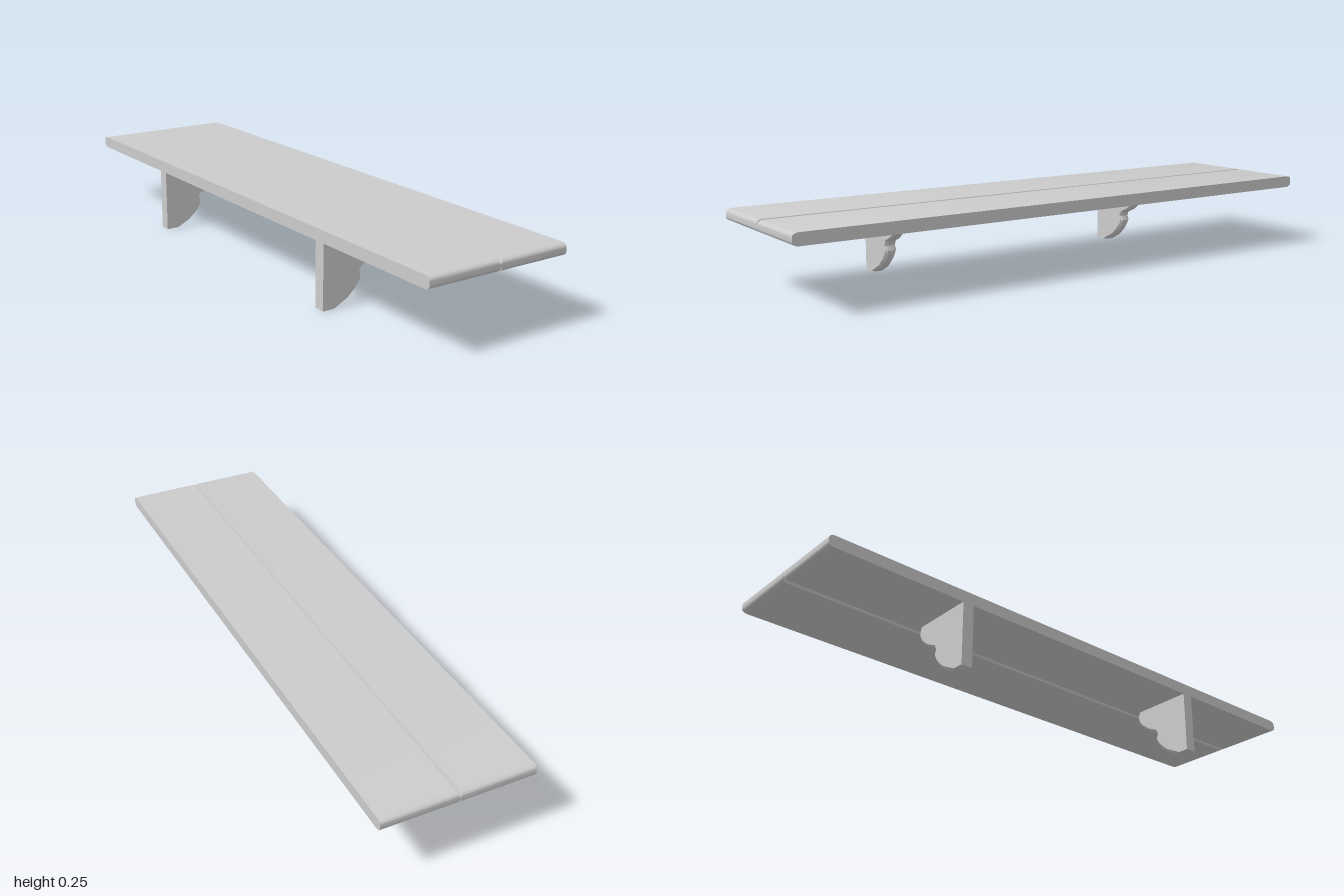
import * as THREE from 'three';
import { toCreasedNormals } from 'three/addons/utils/BufferGeometryUtils.js';

// Skins closed counter-clockwise xy sections, ordered by rising z, and caps both ends.
function loft(sections) {
  const pos = [];
  const n = sections[0].ring.length;
  const put = (s, i) => pos.push(s.ring[i % n][0], s.ring[i % n][1], s.z);
  for (let k = 0; k + 1 < sections.length; k++) {
    const a = sections[k], b = sections[k + 1];
    for (let i = 0; i < n; i++) {
      put(a, i); put(a, i + 1); put(b, i + 1);
      put(a, i); put(b, i + 1); put(b, i);
    }
  }
  const first = sections[0], last = sections[sections.length - 1];
  const cap = (s) => THREE.ShapeUtils.triangulateShape(s.ring.map(([x, y]) => new THREE.Vector2(x, y)), []);
  for (const [a, b, c] of cap(first)) { put(first, a); put(first, c); put(first, b); }
  for (const [a, b, c] of cap(last)) { put(last, a); put(last, b); put(last, c); }
  const g = new THREE.BufferGeometry();
  g.setAttribute('position', new THREE.Float32BufferAttribute(pos, 3));
  return toCreasedNormals(g, 0.56);
}

// Plank with rounded ends and a chamfered inner edge; side is -1 or 1.
const MID = 0.235, WIDTH = 0.254;
function plankGeometry(side) {
  const section = (z, h) => {
    const inset = 0.0075 * (h - 0.003) / 0.017;
    const ring = [
      [inset, MID - h], [WIDTH, MID - h], [WIDTH, MID + h],
      [inset, MID + h], [0, MID + 0.003], [0, MID - 0.003],
    ].map(([x, y]) => [x * side, y]);
    return { z, ring: side < 0 ? ring.reverse() : ring };
  };
  const ends = [];
  const steps = 6;
  for (let i = 0; i <= steps; i++) {
    const t = (i / steps) * Math.PI / 2;
    ends.push([0.98 + 0.02 * Math.cos(t), 0.007 + 0.013 * Math.sin(t)]);
  }
  return loft([
    ...ends.map(([z, h]) => section(-z, h)),
    ...ends.reverse().map(([z, h]) => section(z, h)),
  ]);
}

// Scalloped bracket whose curved edge is bevelled on both faces.
function bracketGeometry() {
  const outer = [
    [-0.201, 0], [-0.157, 0.023], [-0.13, 0.048], [-0.114, 0.07], [-0.109, 0.086], [-0.115, 0.102],
    [-0.109, 0.116], [-0.073, 0.132], [-0.041, 0.157], [-0.027, 0.178], [-0.024, 0.194], [-0.029, 0.215],
  ];
  const inner = [
    [-0.217, 0], [-0.16, 0.03], [-0.134, 0.055], [-0.118, 0.077], [-0.115, 0.088], [-0.121, 0.102],
    [-0.113, 0.12], [-0.077, 0.137], [-0.045, 0.163], [-0.032, 0.184], [-0.031, 0.198], [-0.037, 0.215],
  ];
  const section = (z, edge) => ({ z, ring: [[-0.254, 0], ...edge, [-0.254, 0.215]] });
  return loft([section(-0.02, inner), section(-0.012, outer), section(0.012, outer), section(0.02, inner)]);
}

export function createModel() {
  const model = new THREE.Group();
  model.name = 'wallShelf';
  const material = new THREE.MeshStandardMaterial({ color: 0xcccccc });
  const add = (name, geometry, z = 0) => {
    const mesh = new THREE.Mesh(geometry, material);
    mesh.name = name;
    mesh.position.z = z;
    model.add(mesh);
  };

  // Shelf board
  add('leftPlank', plankGeometry(1));
  add('rightPlank', plankGeometry(-1));

  // Supports
  const bracket = bracketGeometry();
  add('frontBracket', bracket, 0.5);
  add('backBracket', bracket, -0.5);
  return model;
}
